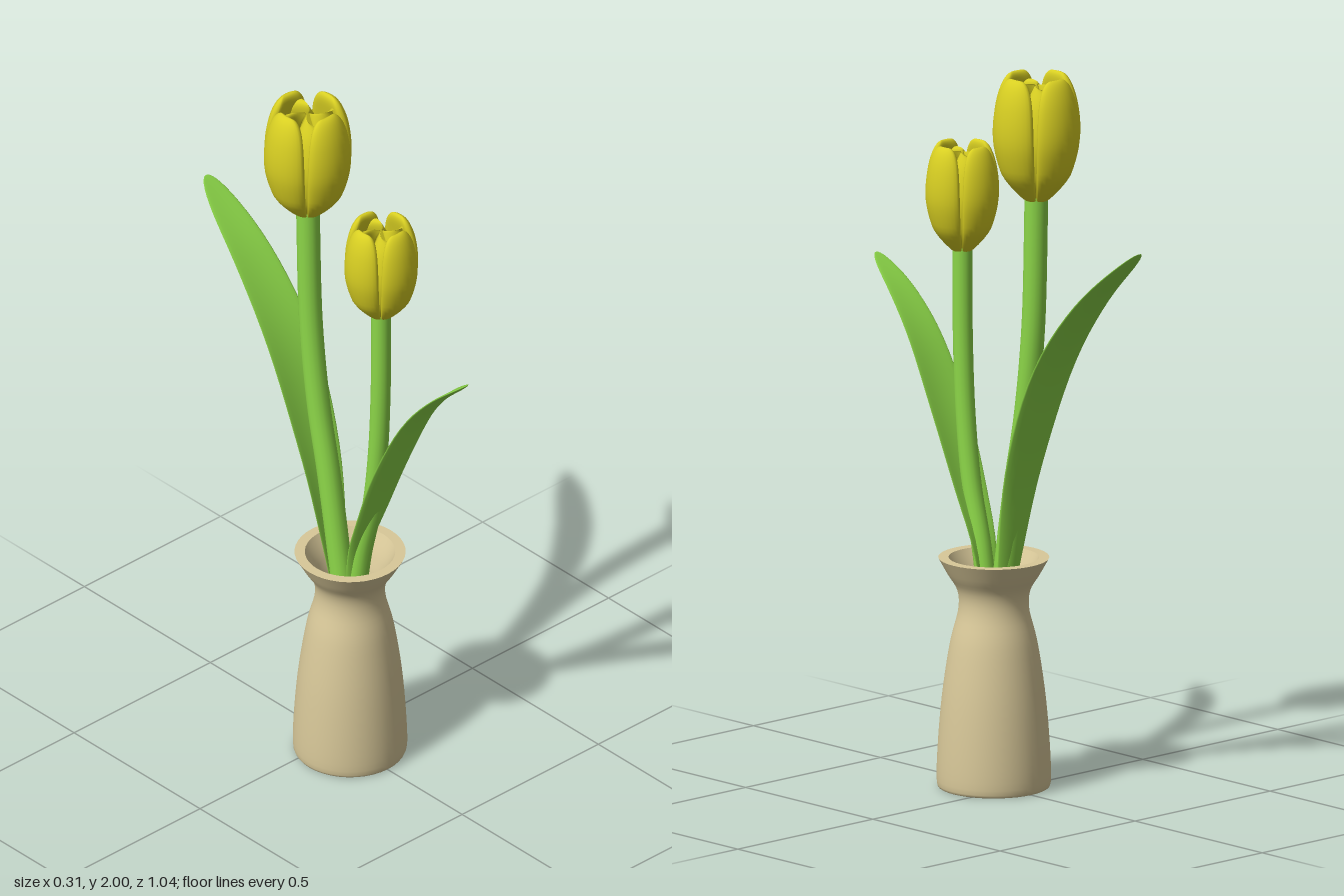
import * as THREE from 'three';

const mat = (color) => new THREE.MeshStandardMaterial({ color, roughness: 0.7 });
const clay = mat(0xd8c899), green = mat(0x8cd648), yellow = mat(0xd8cf22);
const VASE_Z = 0.055;

function add(parent, name, geometry, material) {
  const mesh = new THREE.Mesh(geometry, material);
  mesh.name = name;
  parent.add(mesh);
  return mesh;
}

// Closed skin over rings: point(v, angle) gives a Vector3, v runs 0..1 along the part
function loft(rows, cols, point) {
  const pos = [], idx = [];
  for (let i = 0; i <= rows; i++) {
    const v = (1 - Math.cos((Math.PI * i) / rows)) / 2; // denser at both ends
    for (let j = 0; j < cols; j++) {
      pos.push(...point(v, (j / cols) * Math.PI * 2).toArray());
      if (i === rows) continue;
      const a = i * cols + j, d = i * cols + ((j + 1) % cols);
      idx.push(a, a + cols, d + cols, a, d + cols, d);
    }
  }
  const g = new THREE.BufferGeometry();
  g.setAttribute('position', new THREE.Float32BufferAttribute(pos, 3));
  g.setIndex(idx);
  g.computeVertexNormals();
  return g;
}

// Smooth radius-over-height profile as a function of v
function profile(pairs) {
  const curve = new THREE.SplineCurve(pairs.map(([v, r]) => new THREE.Vector2(v, r)));
  const pts = curve.getPoints(80);
  return (v) => {
    const k = Math.max(1, pts.findIndex((p) => p.x >= v - 1e-6));
    const a = pts[k - 1], b = pts[k];
    return THREE.MathUtils.mapLinear(v, a.x, b.x, a.y, b.y);
  };
}

// Thick petal wrapped around the y axis; skew pushes one edge out and the other in
function petal({ radius, height, halfAngle, thick, skew }) {
  return loft(28, 28, (v, t) => {
    const tip = Math.sqrt(Math.max(0, 1 - v ** 14));
    const c = Math.cos(t), s = Math.sin(t);
    const depth = thick * tip * Math.min(1, 0.3 + 3 * v);
    const bulge = Math.sign(s) * Math.abs(s) ** 0.7;
    const r = Math.max(0.003, radius(v) - thick / 2 + (depth / 2) * bulge + skew * v * c);
    const phi = halfAngle * (1 - 0.15 * v ** 4) * (0.35 + 0.65 * tip) * c;
    return new THREE.Vector3(r * Math.sin(phi), height * v, r * Math.cos(phi));
  });
}

const outerPetal = petal({
  radius: profile([[0, 0.025], [0.03, 0.052], [0.2, 0.096], [0.42, 0.121], [0.6, 0.126], [0.8, 0.118], [1, 0.1]]),
  height: 0.35, halfAngle: 0.75, thick: 0.042, skew: 0,
});
const innerPetal = petal({
  radius: profile([[0, 0.025], [0.2, 0.07], [0.5, 0.09], [0.8, 0.075], [1, 0.05]]),
  height: 0.325, halfAngle: 0.9, thick: 0.024, skew: 0.034,
});

function blossom(name, y, z, scale, heightScale) {
  const g = new THREE.Group();
  g.name = name;
  for (let i = 0; i < 4; i++) {
    add(g, 'outerPetal', outerPetal, yellow).rotation.y = (i * Math.PI) / 2;
    add(g, 'innerPetal', innerPetal, yellow).rotation.y = ((i + 0.5) * Math.PI) / 2;
  }
  g.position.set(0, y, z);
  g.scale.set(scale, heightScale, scale);
  return g;
}

// Smooth path in the side plane from [y, z] pairs
const sidePath = (pairs) => new THREE.CatmullRomCurve3(pairs.map(([y, z]) => new THREE.Vector3(0, y, z)));

const stem = (pairs, r) => new THREE.TubeGeometry(sidePath(pairs), 40, r, 16);

// Thin leaf, widest past the middle, edges cupped along the blade
function leaf(pairs, width, cup) {
  const path = sidePath(pairs);
  const X = new THREE.Vector3(1, 0, 0);
  return loft(40, 20, (v, t) => {
    const tip = Math.sqrt(Math.max(0, 1 - v ** 20));
    const w = width * Math.sin(Math.PI * (0.1 + 0.65 * v)) ** 1.8 * tip;
    const n = new THREE.Vector3().crossVectors(X, path.getTangentAt(v));
    const c = Math.cos(t);
    const lift = 0.006 * tip * Math.sin(t) + cup * w * c * c * (1 - 0.7 * v);
    return path.getPointAt(v).addScaledVector(X, w * c).addScaledVector(n, lift);
  });
}

function buildVase() {
  const g = new THREE.Group();
  g.name = 'vase';
  const V = ([x, y]) => new THREE.Vector2(x, y);
  const smooth = (pairs) => new THREE.SplineCurve(pairs.map(V)).getPoints(36);
  const lathe = (name, pts) => add(g, name, new THREE.LatheGeometry(pts, 40), clay);
  lathe('base', [[0, 0], [0.142, 0]].map(V));
  lathe('outerWall', smooth([[0.142, 0], [0.154, 0.014], [0.151, 0.12], [0.139, 0.26],
    [0.118, 0.4], [0.096, 0.49], [0.099, 0.545], [0.125, 0.59], [0.15, 0.635]]));
  lathe('rim', [[0.15, 0.635], [0.122, 0.635]].map(V));
  lathe('innerWall', smooth([[0.122, 0.635], [0.09, 0.57], [0.074, 0.5], [0.095, 0.4],
    [0.12, 0.2], [0.128, 0.03]]));
  lathe('innerFloor', [[0.128, 0.03], [0, 0.03]].map(V));
  g.position.z = VASE_Z;
  return g;
}

export function createModel() {
  const model = new THREE.Group();
  model.name = 'tulipVase';
  model.add(buildVase());

  // Tall flower at the back
  add(model, 'tallStem', stem([[0.06, 0.06], [0.4, 0.04], [0.64, 0.005], [0.85, -0.03], [1.05, -0.07],
    [1.3, -0.1], [1.68, -0.113]], 0.032), green);
  model.add(blossom('tallBlossom', 1.65, -0.113, 1, 1));

  // Short flower at the front
  add(model, 'shortStem', stem([[0.06, 0.06], [0.4, 0.07], [0.64, 0.1], [0.82, 0.142], [1.0, 0.165],
    [1.2, 0.176], [1.48, 0.179]], 0.027), green);
  model.add(blossom('shortBlossom', 1.46, 0.179, 0.84, 0.857));

  // Leaves arching away on both sides
  add(model, 'backLeaf', leaf([[0.3, 0.04], [0.64, -0.018], [0.9, -0.077], [1.2, -0.195], [1.4, -0.335],
    [1.575, -0.518]], 0.079, 0.3), green);
  add(model, 'frontLeaf', leaf([[0.3, 0.06], [0.64, 0.098], [0.8, 0.155], [1.0, 0.235], [1.2, 0.335],
    [1.31, 0.42], [1.4, 0.518]], 0.066, -0.3), green);
  return model;
}
